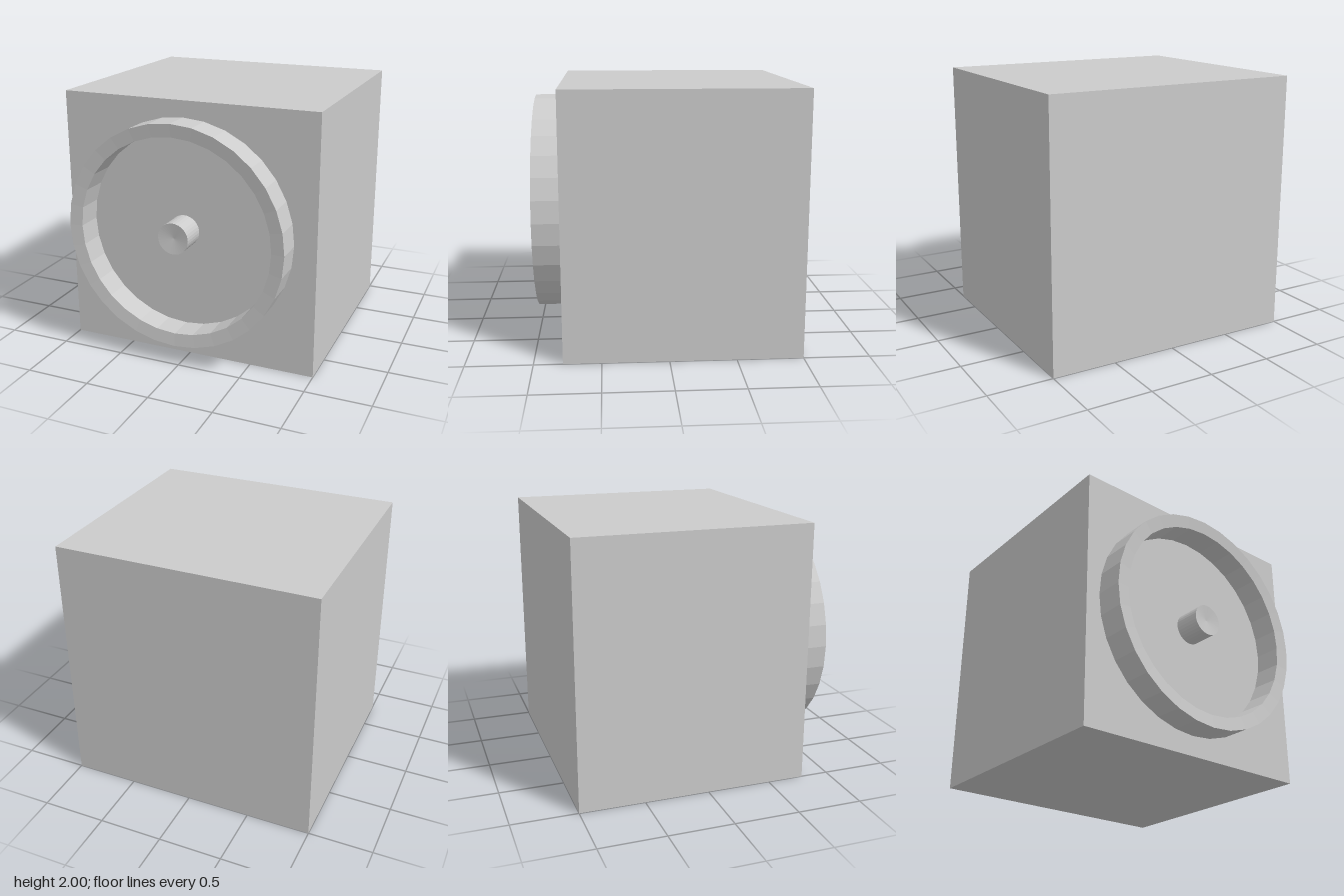
import * as THREE from 'three';

const material = new THREE.MeshStandardMaterial({ color: 0xcccccc, flatShading: true });
const FACE_Z = 0.785; // front face of the block

// Turned part that stands on the front face; profile is [radius, z] pairs
function turned(name, profile) {
  const points = profile.map(([r, z]) => new THREE.Vector2(r, z));
  const geometry = new THREE.LatheGeometry(points, 32);
  geometry.rotateX(Math.PI / 2);
  const mesh = new THREE.Mesh(geometry, material);
  mesh.name = name;
  mesh.position.set(-0.03, 1.015, 0);
  return mesh;
}

export function createModel() {
  const model = new THREE.Group();
  model.name = 'blockWithRing';

  // Main block
  const depth = FACE_Z + 1;
  const block = new THREE.Mesh(new THREE.BoxGeometry(2, 2, depth), material);
  block.name = 'block';
  block.position.set(0, 1, FACE_Z - depth / 2);
  model.add(block);

  // Raised ring, its rim sloping slightly inward
  model.add(turned('ring', [[0.86, FACE_Z], [0.86, 1], [0.76, 0.988], [0.76, FACE_Z]]));

  // Centre pin with a shallow dished end
  model.add(turned('centrePin', [[0.12, FACE_Z], [0.12, 0.985], [0, 0.97]]));

  return model;
}
